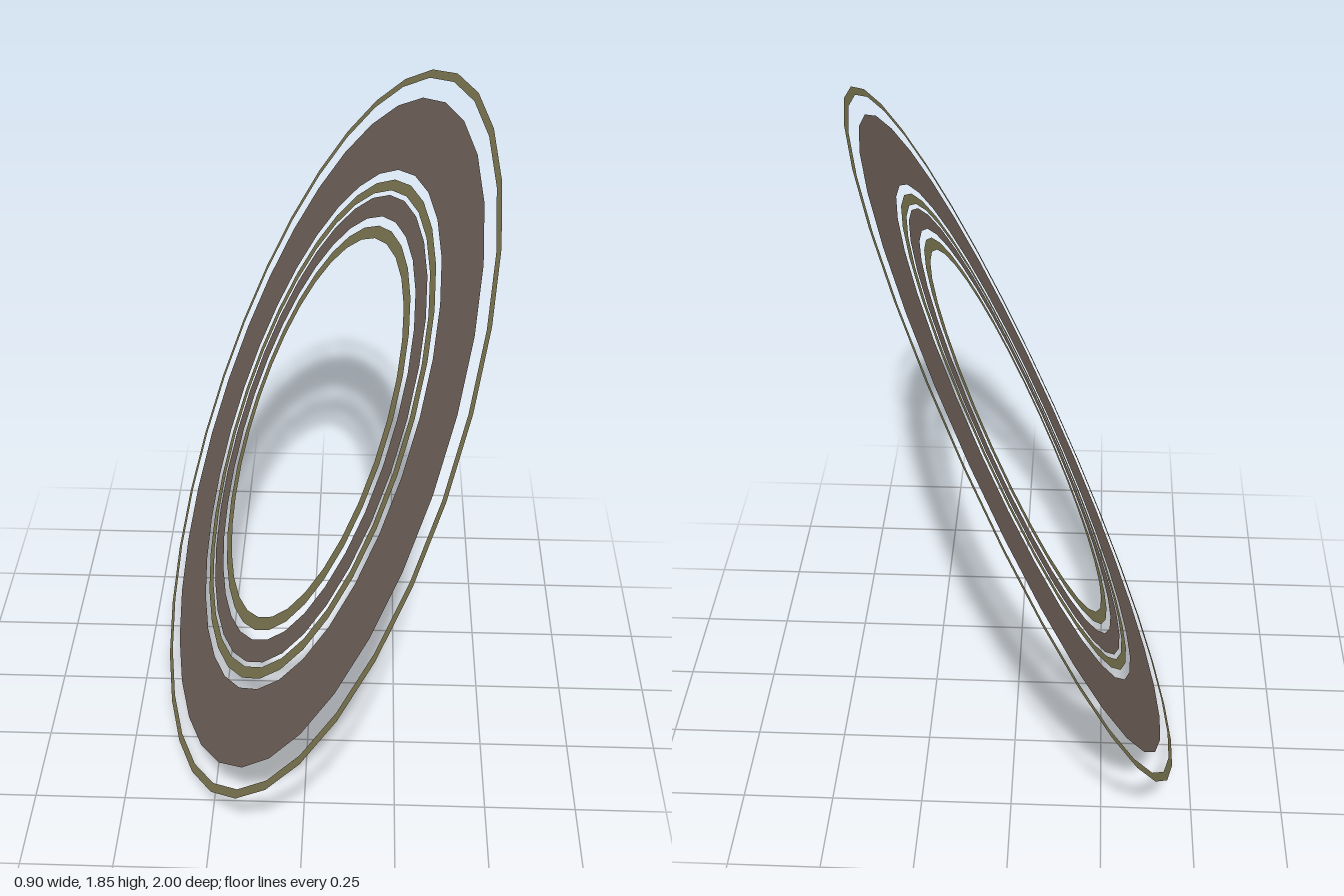
import * as THREE from 'three';

const SIDES = 32;
const RADIUS = 1.016;

export function createModel() {
  const model = new THREE.Group();
  const rings = new THREE.Group();
  rings.name = 'tiltedRings';

  const brown = new THREE.MeshStandardMaterial({ color: 0x7a6b61, side: THREE.DoubleSide, flatShading: true });
  const olive = new THREE.MeshStandardMaterial({ color: 0x88815a, side: THREE.DoubleSide, flatShading: true });

  // Flat concentric bands: name, inner and outer share of the full radius, colour
  const bands = [
    ['outerThinRing', 0.977, 1, olive],
    ['wideRing', 0.721, 0.922, brown],
    ['middleThinRing', 0.664, 0.694, olive],
    ['narrowRing', 0.591, 0.651, brown],
    ['innerThinRing', 0.53, 0.565, olive],
  ];
  for (const [name, inner, outer, material] of bands) {
    const geometry = new THREE.RingGeometry(inner * RADIUS, outer * RADIUS, SIDES, 1, Math.PI / SIDES);
    const ring = new THREE.Mesh(geometry, material);
    ring.name = name;
    rings.add(ring);
  }

  // Tilt the common plane of the bands, keeping one pair of edges level in z
  const normal = new THREE.Vector3(0.897, -0.416, -0.15).normalize();
  const across = new THREE.Vector3(normal.y, -normal.x, 0).normalize();
  const along = new THREE.Vector3().crossVectors(normal, across);
  rings.quaternion.setFromRotationMatrix(new THREE.Matrix4().makeBasis(across, along, normal));
  rings.position.y = 0.926;

  model.add(rings);
  return model;
}
